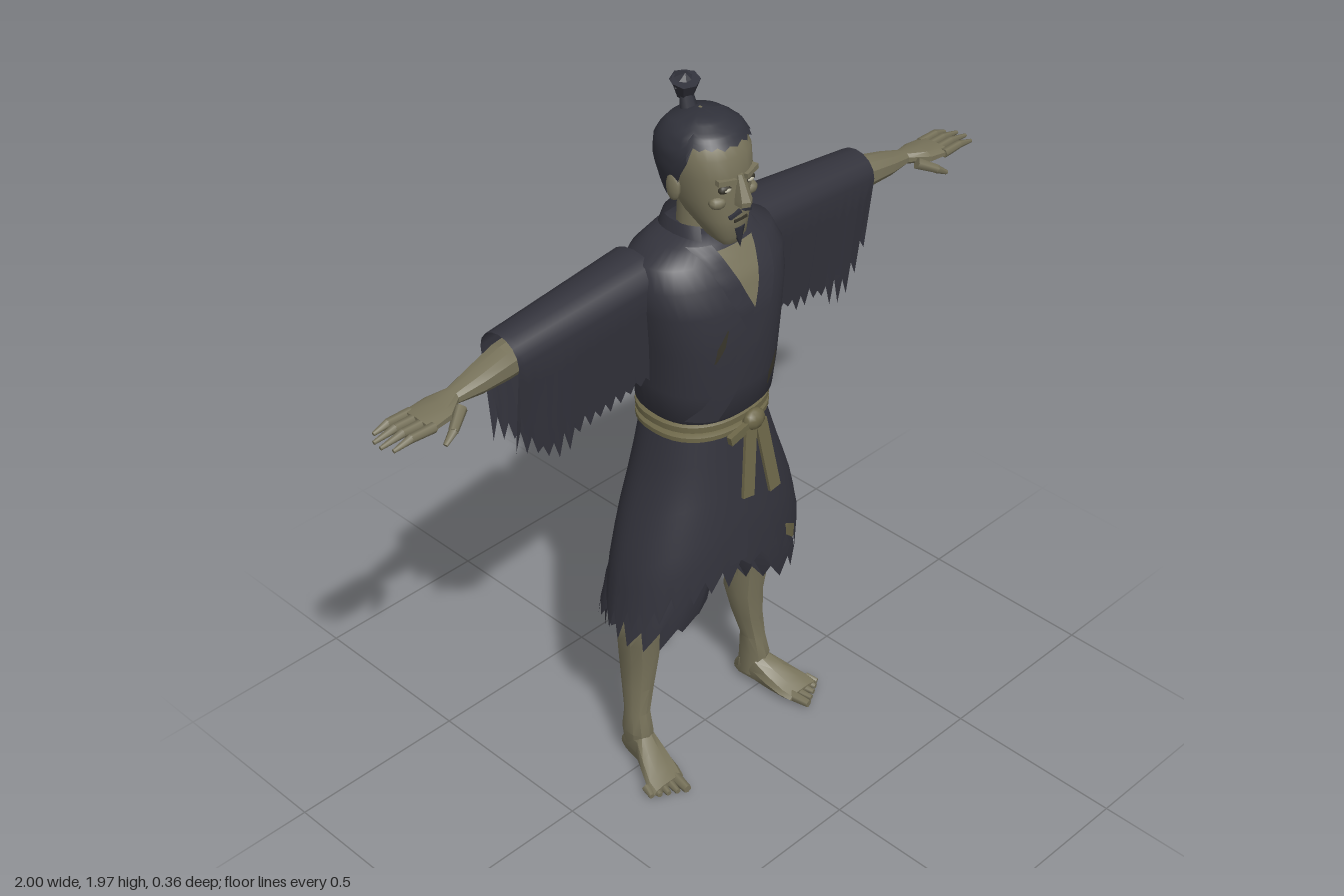
import * as THREE from 'three';
import { toCreasedNormals } from 'three/addons/utils/BufferGeometryUtils.js';

const mat = (name, color, side = THREE.FrontSide) =>
  Object.assign(new THREE.MeshStandardMaterial({ color, side }), { name });

// small seeded random source for the torn edges
let seed = 7;
const rnd = () => (seed = (seed * 16807) % 2147483647) / 2147483647;
const tear = (i, amp) => amp * (i % 2 ? 0.25 * rnd() : 0.45 + 0.55 * rnd());

const lerp = THREE.MathUtils.lerp;
const pw = (v, p) => Math.sign(v) * Math.abs(v) ** p;

// interpolate a table of [station, a0, a1, b0, b1] boxes
function at(table, s) {
  let i = 0;
  while (i < table.length - 2 && s > table[i + 1][0]) i++;
  const A = table[i], B = table[i + 1];
  const k = THREE.MathUtils.clamp((s - A[0]) / (B[0] - A[0]), 0, 1);
  return A.map((v, j) => (j ? lerp(v, B[j], k) : s));
}

// point at angle t of a rounded section fitted in a box, along the given axis
function onBox([s, a0, a1, b0, b1], t, axis = 'y', p = 0.85) {
  const u = pw(Math.sin(t), p), v = pw(Math.cos(t), p);
  const mid = (lo, hi, k) => (lo + hi) / 2 + (hi - lo) / 2 * k;
  if (axis === 'y') return [mid(a0, a1, u), s, mid(b0, b1, v)];
  if (axis === 'x') return [s, mid(a0, a1, v), mid(b0, b1, u)];
  return [mid(a0, a1, v), mid(b0, b1, u), s];
}

// skin a grid of points, optionally closed around and capped, mirrored by side
function loft(rows, { closed = true, caps = false, side = 1, crease = 0.8 } = {}) {
  const n = rows[0].length, pts = rows.flat(), idx = [];
  const tri = (a, b, c) => (side > 0 ? idx.push(a, b, c) : idx.push(a, c, b));
  for (let i = 0; i < rows.length - 1; i++)
    for (let j = 0; j < (closed ? n : n - 1); j++) {
      const a = i * n + j, b = i * n + (j + 1) % n;
      tri(a, b, a + n); tri(b, b + n, a + n);
    }
  if (caps) [0, rows.length - 1].forEach((r) => {
    const c = pts.length;
    pts.push([0, 1, 2].map((k) => rows[r].reduce((s, q) => s + q[k], 0) / n));
    for (let j = 0; j < n; j++) {
      const a = r * n + j, b = r * n + (j + 1) % n;
      r ? tri(a, b, c) : tri(b, a, c);
    }
  });
  const g = new THREE.BufferGeometry();
  g.setAttribute('position', new THREE.Float32BufferAttribute(pts.flatMap(([x, y, z]) => [x * side, y, z]), 3));
  g.setIndex(idx);
  return toCreasedNormals(g, crease);
}

const solid = (table, axis, n, o = {}) => loft(table.map((b) =>
  Array.from({ length: n }, (_, j) => onBox(b, j / n * Math.PI * 2, axis, o.p))), { caps: true, ...o });

// cloth hanging from a top height to a hem that varies with angle and is torn
function drape(table, top, hem, amp, { n = 56, rows = 8, side = 1 } = {}) {
  const cut = Array.from({ length: n }, (_, j) => tear(j, amp));
  return loft(Array.from({ length: rows + 1 }, (_, i) => Array.from({ length: n }, (_, j) => {
    const t = j / n * Math.PI * 2;
    const y = i ? lerp(hem(t) + amp * 0.3, top, (i - 0.6) / (rows - 0.6)) : hem(t) - cut[j];
    return onBox(at(table, y), t);
  })), { side });
}

// symmetric [y, half width, back z, front z] profiles
const sym = (list) => list.map(([y, w, b, f]) => [y, -w, w, b, f]);
const TORSO = sym([[1.09, .15, -.14, .12], [1.12, .175, -.155, .145], [1.2, .182, -.16, .155], [1.32, .195, -.165, .16],
  [1.43, .215, -.165, .155], [1.5, .222, -.155, .135], [1.55, .2, -.135, .105], [1.58, .135, -.115, .085], [1.6, .08, -.09, .06]]);
const SKIRT = [[.42, -.31, .31, -.165, .13], [.55, -.3, .3, -.175, .155], [.68, -.275, .285, -.178, .165], [.8, -.235, .255, -.175, .155],
  [.92, -.19, .21, -.165, .14], [1.1, -.15, .15, -.14, .115]];
const HEAD = sym([[1.575, .028, .05, .1], [1.6, .048, .02, .115], [1.65, .07, -.04, .118], [1.7, .086, -.08, .116],
  [1.76, .096, -.1, .114], [1.81, .098, -.108, .108], [1.85, .082, -.095, .085], [1.875, .045, -.06, .04]]);
const HAIR = sym([[1.64, .075, -.075, .1], [1.7, .094, -.105, .12], [1.77, .108, -.125, .124], [1.82, .108, -.122, .116],
  [1.86, .088, -.1, .085], [1.885, .05, -.065, .04], [1.892, .004, -.02, -.01]]);

const frontZ = (table, x, y) => {
  const [, x0, x1, z0, z1] = at(table, y);
  const s = Math.min(1, Math.abs((2 * x - x0 - x1) / (x1 - x0))), e = 2 / .85;
  return (z0 + z1) / 2 + (z1 - z0) / 2 * (1 - s ** e) ** (1 / e);
};

// thin band on a front surface through [x, y, halfWidth] stations, bottom to top
function band(table, path, lift) {
  const rows = [];
  for (let i = 0; i <= 14; i++) {
    const f = i / 14 * (path.length - 1), k = Math.min(Math.floor(f), path.length - 2);
    const [x, y, w] = path[k].map((v, j) => lerp(v, path[k + 1][j], f - k));
    rows.push([-1, -.5, 0, .5, 1].map((u) => [x + u * w, y, frontZ(table, x + u * w, y) + lift]));
  }
  return loft(rows, { closed: false });
}

export function createModel() {
  const model = new THREE.Group();
  const skin = mat('skin', 0x77725a, THREE.DoubleSide);
  const robe = mat('dark cloth', 0x33333c, THREE.DoubleSide);
  const sash = mat('straw sash', 0x6c6648, THREE.DoubleSide);
  const hair = mat('hair', 0x30313a, THREE.DoubleSide);
  const shade = mat('dark brown', 0x37342a);
  const white = mat('eye white', 0xb9b5a0);

  const add = (name, geo, m, pos = [0, 0, 0], scale = [1, 1, 1], rot = [0, 0, 0]) => {
    const mesh = new THREE.Mesh(geo, m);
    mesh.name = name;
    mesh.position.set(...pos); mesh.scale.set(...scale); mesh.rotation.set(...rot);
    model.add(mesh);
    return mesh;
  };
  // tapered rod between two points
  const rod = (name, a, b, ra, rb, m, n = 6) => {
    const A = new THREE.Vector3(...a), d = new THREE.Vector3(...b).sub(A);
    const mesh = add(name, new THREE.CylinderGeometry(rb, ra, d.length(), n), m, A.clone().addScaledVector(d, .5).toArray());
    mesh.quaternion.setFromUnitVectors(new THREE.Vector3(0, 1, 0), d.normalize());
  };
  const ball = new THREE.SphereGeometry(1, 10, 7), box = new THREE.BoxGeometry(1, 1, 1);

  // robe body, chest opening, crossed lapels and neck collar
  add('robeTorso', solid(TORSO, 'y', 40), robe);
  add('bareChest', band(TORSO, [[.0, 1.38, .004], [0, 1.46, .035], [0, 1.57, .065]], .005), skin);
  add('rightLapel', band(TORSO, [[.0, 1.37, .024], [-.045, 1.47, .027], [-.085, 1.585, .025]], .01), robe);
  add('leftLapel', band(TORSO, [[-.13, 1.13, .03], [-.02, 1.34, .03], [.05, 1.47, .03], [.088, 1.585, .025]], .016), robe);
  add('neckCollar', loft([[1.55, .11, -.115, .1], [1.585, .1, -.112, .085], [1.622, .085, -.1, .065]].map((r) =>
    Array.from({ length: 25 }, (_, j) => onBox(sym([r])[0], .75 + j / 24 * (Math.PI * 2 - 1.5)))), { closed: false }), robe);
  [[.085, 1.2, .016], [-.095, 1.34, .01]].forEach(([x, y, w]) =>
    add('chestTear', band(TORSO, [[x - .015, y - .04, .002], [x, y, w], [x + .018, y + .045, .002]], .004), shade));

  // skirt and the torn breeches below it
  add('robeSkirt', drape(SKIRT, 1.1, (t) => .6 + .08 * Math.cos(t) - .04 * Math.sin(t) ** 2, .1, { n: 64 }), robe);
  add('skirtOverlap', band(SKIRT, [[-.05, .68, .03], [-.03, .85, .025], [-.02, 1.05, .02]], .008), robe);
  add('skirtTear', band(SKIRT, [[.19, .61, .003], [.17, .65, .025], [.14, .69, .003]], .006), sash);
  for (const s of [1, -1])
    add('breeches', drape([[.42, .1, .31, -.15, .08], [.55, .03, .29, -.16, .12], [.8, -.01, .2, -.13, .1]], .8,
      (t) => .53 + .04 * Math.max(0, -Math.sin(t)), .09, { n: 30, rows: 4, side: s }), robe);

  // rope belt of two strands, knot and hanging tails
  [[1.062, .012], [1.092, .016]].forEach(([y, h]) => add('beltStrand', solid(sym([[y - h, .158, -.145, .125],
    [y - h * .5, .172, -.157, .137], [y + h * .5, .172, -.157, .137], [y + h, .158, -.145, .125]]), 'y', 36), sash));
  add('beltKnot', ball, sash, [.025, 1.075, .145], [.035, .03, .022]);
  add('beltTail', box, sash, [-.008, .975, .163], [.038, .2, .009], [-.14, 0, -.18]);
  add('beltTail', box, sash, [.058, .96, .163], [.038, .21, .009], [-.14, 0, .12]);
  add('beltLoop', box, sash, [-.03, 1.06, .148], [.07, .025, .015], [0, 0, .25]);

  for (const s of [1, -1]) {
    // wide open sleeve with a ragged lower edge
    const rows = [];
    for (let i = 0; i <= 26; i++) {
      const k = i / 26, x = lerp(.18, .608, k), top = lerp(1.565, 1.525, k), hz = lerp(.085, .066, k);
      const low = at([[.18, 1.24, 0], [.4, 1.22, 0], [.52, 1.2, 0], [.61, 1.31, 0]], x)[1] - tear(i, .1) * (.3 + .7 * k);
      rows.push(Array.from({ length: 17 }, (_, j) => {
        const u = j / 8 - 1, a = Math.abs(u), d = Math.max(0, a - .5) * 2, c = Math.min(a, .5) * Math.PI;
        return [x, lerp(top - .06 * (1 - Math.cos(c)), low, d), -.058 + Math.sign(u) * hz * Math.sin(c) * (1 - .4 * d)];
      }));
    }
    add('sleeve', loft(rows, { closed: false, side: s }), robe);

    // arm and palm, then fingers and thumb
    add('arm', solid([[.2, 1.42, 1.52, -.1, 0], [.5, 1.42, 1.51, -.1, -.01], [.62, 1.42, 1.505, -.085, .0], [.7, 1.425, 1.488, -.07, 0],
      [.77, 1.43, 1.465, -.06, -.012], [.82, 1.425, 1.462, -.074, .024], [.885, 1.427, 1.452, -.074, .03]], 'x', 10, { side: s, crease: .5 }), skin);
    [[-.062, .975], [-.036, .995], [-.009, .998], [.02, .985]].forEach(([z, tip]) => {
      rod('finger', [s * .87, 1.44, z], [s * .935, 1.441, z - .002], .013, .011, skin);
      rod('fingertip', [s * .933, 1.441, z - .002], [s * tip, 1.432, z - .002], .011, .005, skin);
    });
    rod('thumb', [s * .78, 1.44, .005], [s * .83, 1.415, .035], .016, .012, skin);
    rod('thumbTip', [s * .825, 1.417, .033], [s * .86, 1.396, .042], .012, .006, skin);

    // leg, foot and toes
    add('leg', solid([[.03, .19, .25, -.075, .005], [.1, .192, .262, -.075, .015], [.16, .192, .255, -.07, .0], [.24, .172, .248, -.09, .0],
      [.33, .152, .247, -.105, .005], [.4, .148, .258, -.1, .012], [.46, .142, .262, -.09, .018], [.75, .04, .2, -.1, .06]],
      'y', 10, { side: s, crease: .6 }), skin);
    add('foot', solid([[-.087, .205, .235, .005, .04], [-.06, .192, .25, 0, .08], [0, .192, .265, 0, .1], [.045, .194, .29, 0, .07],
      [.095, .2, .315, 0, .04], [.125, .21, .318, 0, .026]], 'z', 10, { side: s, crease: .5 }), skin);
    [.226, .25, .272, .293, .312].forEach((x, i) =>
      rod('toe', [s * x, .014, .09], [s * (x + .012), .011, .17 - i * .012], i ? .014 : .018, i ? .008 : .012, skin));

    // ear, eye, brow, cheek and moustache
    add('ear', ball, skin, [s * .1, 1.725, -.005], [.012, .036, .022]);
    add('eyeSocket', ball, shade, [s * .038, 1.737, .103], [.022, .012, .012]);
    add('eye', ball, white, [s * .038, 1.736, .11], [.012, .006, .007]);
    add('brow', box, skin, [s * .04, 1.757, .108], [.05, .013, .018], [0, s * .25, s * .12]);
    add('cheekbone', ball, skin, [s * .052, 1.702, .092], [.024, .017, .02]);
    add('moustache', box, hair, [s * .02, 1.667, .118], [.034, .008, .01], [0, s * .25, -s * .4]);
  }

  // neck, head, nose, mouth and goatee
  add('neck', new THREE.CylinderGeometry(.054, .064, .2, 12), skin, [0, 1.62, -.015]);
  add('head', solid(HEAD, 'y', 24, { crease: .6 }), skin);
  add('nose', solid([[1.69, -.02, .02, .1, .148], [1.703, -.02, .02, .1, .15], [1.765, -.009, .009, .1, .12]], 'y', 6, { crease: .3 }), skin);
  add('mouth', box, shade, [0, 1.648, .116], [.042, .007, .008]);
  add('goatee', new THREE.ConeGeometry(.02, .055, 6), hair, [0, 1.598, .113], [1, 1, .7], [Math.PI - .15, 0, 0]);

  // hair cap around the bare forehead, with topknot
  add('hairCap', drape(HAIR, 1.892, (t) => {
    const c = Math.cos(t);
    return c > .45 ? 1.842 : c > 0 ? lerp(1.735, 1.842, c / .45) : lerp(1.735, 1.672, Math.min(1, -c * 1.5));
  }, .012, { n: 40, rows: 10 }), hair);
  rod('topknotBase', [0, 1.865, -.05], [0, 1.91, -.062], .024, .017, hair, 7);
  add('topknot', toCreasedNormals(new THREE.CylinderGeometry(.036, .022, .045, 7), .4), hair, [.002, 1.925, -.065], [1, 1, .95], [.2, 0, .15]);
  add('topknotTuft', toCreasedNormals(new THREE.ConeGeometry(.035, .025, 7), .4), hair, [0, 1.951, -.066], [1, 1, 1], [.3, .4, .15]);
  return model;
}
